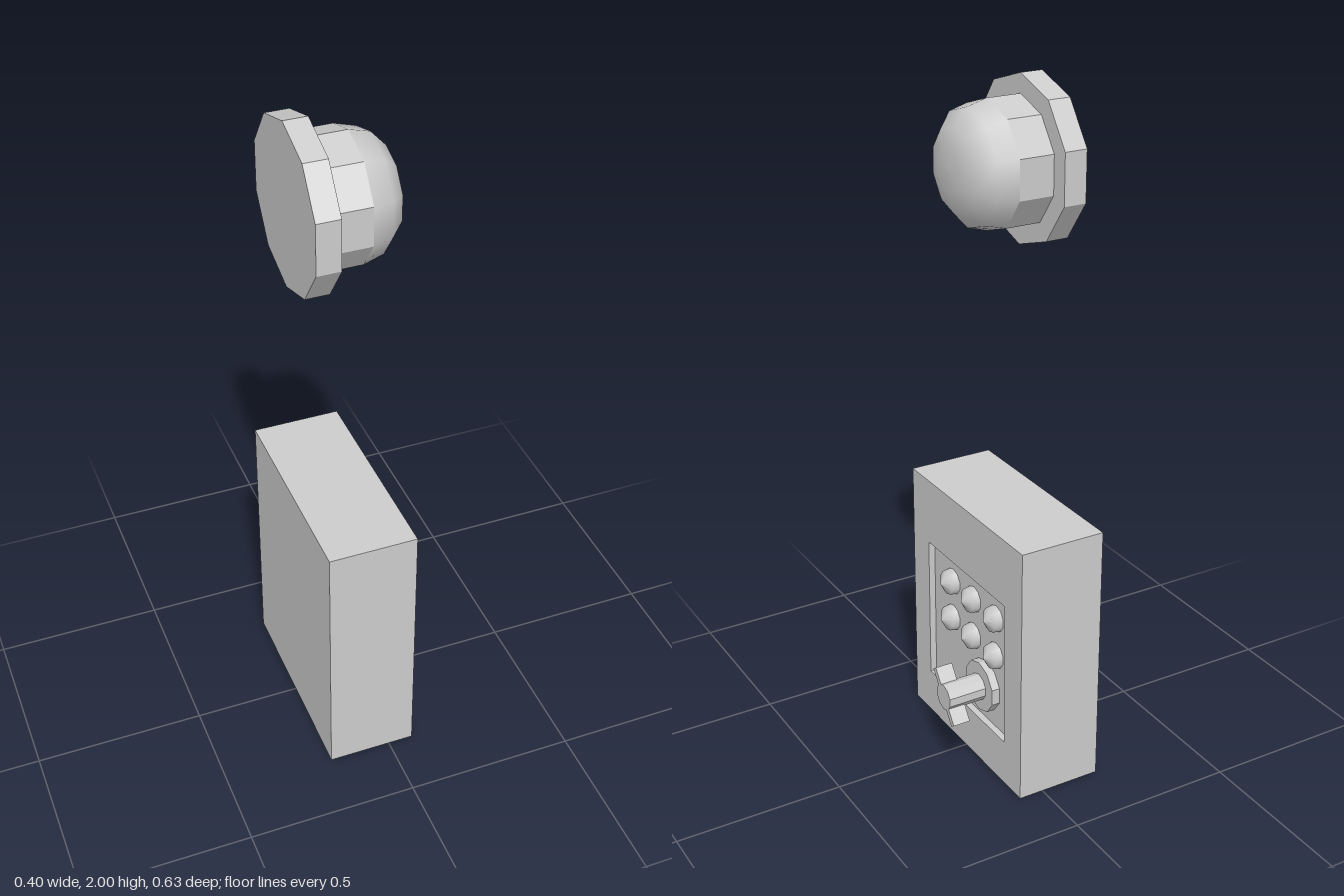
import * as THREE from 'three';

const smooth = new THREE.MeshStandardMaterial({ color: 0xcccccc });
const flat = new THREE.MeshStandardMaterial({ color: 0xcccccc, flatShading: true });

export function createModel() {
  const model = new THREE.Group();

  function add(parent, name, geometry, material = flat) {
    const mesh = new THREE.Mesh(geometry, material);
    mesh.name = name;
    parent.add(mesh);
    return mesh;
  }

  // Cylinder along x from x0 to x1, with a corner pointing straight up
  function xCylinder(radius, x0, x1, sides, y, z) {
    return new THREE.CylinderGeometry(radius, radius, x1 - x0, sides, 1, false, Math.PI / 2)
      .rotateZ(-Math.PI / 2).translate((x0 + x1) / 2, y, z);
  }

  // Turned form along x from [radius, x] pairs
  function xLathe(profile, sides, y, z) {
    const points = profile.map(([r, x]) => new THREE.Vector2(r, x));
    return new THREE.LatheGeometry(points, sides, Math.PI / 2)
      .rotateZ(-Math.PI / 2).translate(0, y, z);
  }

  // Control box: casing with a shallow recess in its +x face
  const box = new THREE.Group();
  box.name = 'controlBox';
  model.add(box);
  const back = -0.185, face = 0.075, floor = 0.055;
  const rect = (Type, x0, x1, y0, y1) => {
    const s = new Type();
    s.moveTo(x0, y0); s.lineTo(x1, y0); s.lineTo(x1, y1); s.lineTo(x0, y1); s.closePath();
    return s;
  };
  const outline = rect(THREE.Shape, -0.313, 0.313, 0, 0.795);
  outline.holes.push(rect(THREE.Path, -0.22, 0.22, 0.14, 0.59));
  add(box, 'casing', new THREE.ExtrudeGeometry(outline, { depth: face - back, bevelEnabled: false })
    .rotateY(Math.PI / 2).translate(back, 0, 0));
  add(box, 'recessPanel', new THREE.BoxGeometry(floor - back, 0.45, 0.44)
    .translate((floor + back) / 2, 0.365, 0));

  // Two rows of domed buttons
  for (const y of [0.385, 0.507]) {
    for (const z of [0.107, -0.015, -0.142]) {
      add(box, 'button', xLathe([[0.04, floor], [0.036, 0.079], [0, 0.098]], 10, y, z), smooth);
    }
  }

  // Key switch: collar, shaft and a thin slanted grip
  const key = new THREE.Group();
  key.name = 'keySwitch';
  box.add(key);
  const ky = 0.257, kz = -0.086;
  add(key, 'collar', xCylinder(0.079, floor, 0.08, 10, ky, kz));
  add(key, 'shaft', xCylinder(0.04, floor, 0.198, 10, ky, kz));
  add(key, 'grip', new THREE.BoxGeometry(0.053, 0.175, 0.018)
    .rotateX(Math.atan2(0.11, 0.148)).translate(0.1715, ky, kz));

  // Bell: wall plate, faceted barrel and smooth domed end
  const bell = new THREE.Group();
  bell.name = 'bell';
  model.add(bell);
  const by = 1.765, bz = 0.058;
  add(bell, 'wallPlate', xCylinder(0.235, -0.2, -0.133, 10, by, bz));
  add(bell, 'barrel', xCylinder(0.18, -0.14, -0.03, 10, by, bz));
  add(bell, 'dome', xLathe(
    [[0.18, -0.03], [0.164, 0.028], [0.118, 0.07], [0.06, 0.085], [0, 0.087]], 10, by, bz), smooth);

  return model;
}
